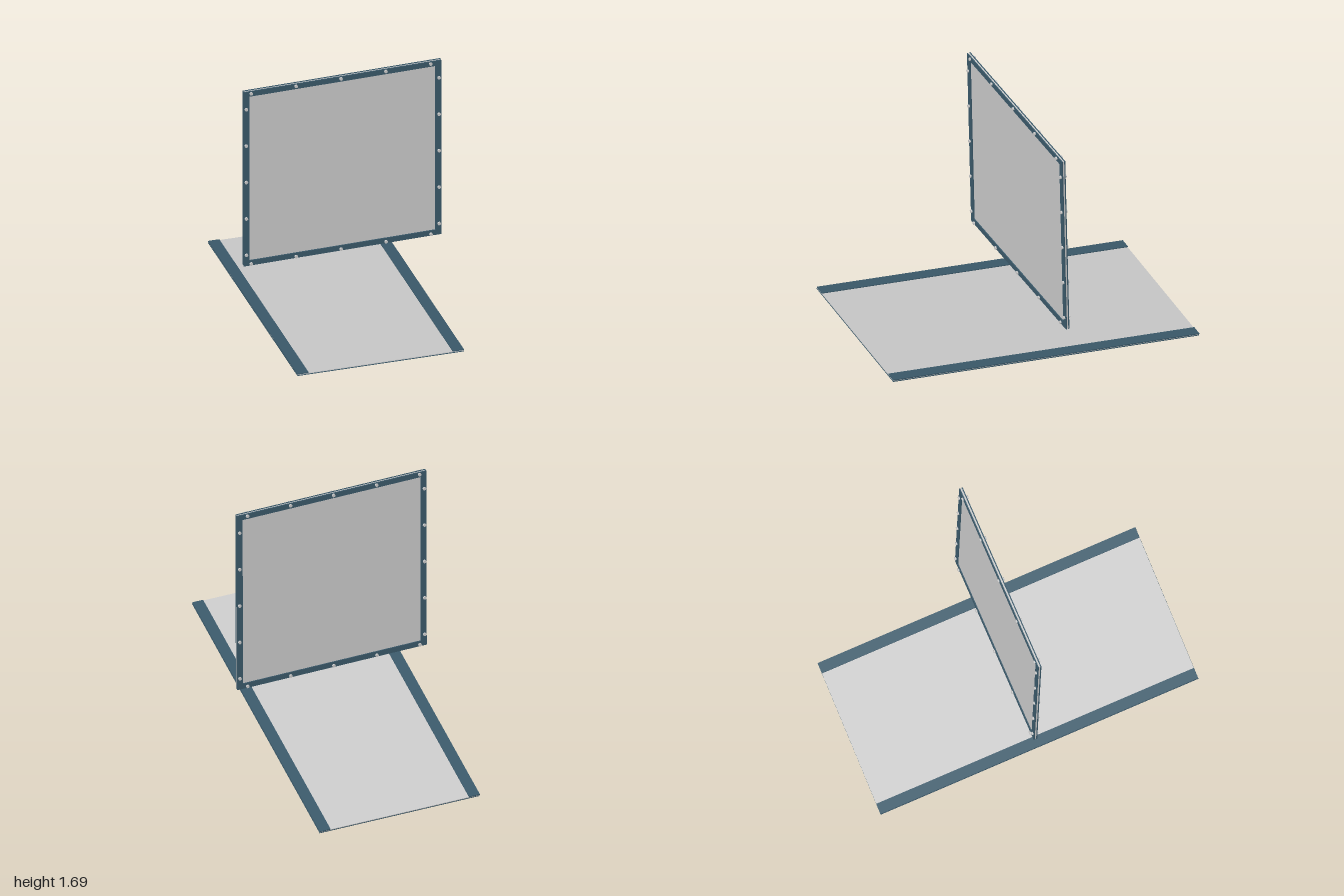
import * as THREE from 'three';

const blue = new THREE.MeshStandardMaterial({ color: 0x3b5a6b });
const grey = new THREE.MeshStandardMaterial({ color: 0xcccccc });

function box(parent, name, size, pos, material) {
  const mesh = new THREE.Mesh(new THREE.BoxGeometry(...size), material);
  mesh.name = name;
  mesh.position.set(...pos);
  parent.add(mesh);
  return mesh;
}

// Four strips forming a rectangular border in the XY plane
function border(parent, name, w, h, bar, depth, z) {
  for (const s of [-1, 1]) {
    box(parent, name + 'Side', [bar, h - 2 * bar, depth], [s * (w - bar) / 2, 0, z], blue);
    box(parent, name + 'Rail', [w, bar, depth], [0, s * (h - bar) / 2, z], blue);
  }
}

// Bolt through the sheet with a head at each end
function bolt(parent, x, y) {
  const group = new THREE.Group();
  group.name = 'bolt';
  group.position.set(x, y, 0);
  const add = (name, r, len, z) => {
    const mesh = new THREE.Mesh(new THREE.CylinderGeometry(r, r, len, 12), grey);
    mesh.name = name;
    mesh.rotation.x = Math.PI / 2;
    mesh.position.z = z;
    group.add(mesh);
  };
  add('boltShaft', 0.006, 0.04, 0);
  for (const s of [-1, 1]) add('boltHead', 0.01, 0.009, s * 0.0165);
  parent.add(group);
}

// Upright framed sheet, slightly twisted out of square
function makeScreen() {
  const screen = new THREE.Group();
  screen.name = 'screen';
  const w = 1.206, h = 1.232;
  box(screen, 'screenSheet', [w - 0.006, h - 0.006, 0.01], [0, 0, 0], grey);
  border(screen, 'frontFrame', w, h, 0.036, 0.006, 0.008);
  border(screen, 'backFrame', w, h, 0.036, 0.006, -0.008);
  for (let i = -2; i <= 2; i++) {
    for (const s of [-1, 1]) {
      bolt(screen, -0.01 + i * 0.274, s * 0.603);
      bolt(screen, s * 0.588, -0.02 + i * 0.258);
    }
  }
  screen.position.set(-0.002, 1.073, -0.043);
  screen.rotation.set(0.019, 0.02, 0.006);
  return screen;
}

// Sloping board: frame with a recessed underside, deck and two edge rails
function makeRamp() {
  const ramp = new THREE.Group();
  ramp.name = 'ramp';
  const w = 1.01, len = 2.025;
  const shape = new THREE.Shape();
  shape.moveTo(-w / 2, -len / 2);
  shape.lineTo(w / 2, -len / 2);
  shape.lineTo(w / 2, len / 2);
  shape.lineTo(-w / 2, len / 2);
  const hole = new THREE.Path();
  hole.moveTo(-0.415, -0.85);
  hole.lineTo(-0.415, 0.88);
  hole.lineTo(0.42, 0.88);
  hole.lineTo(0.42, -0.85);
  shape.holes.push(hole);
  const geometry = new THREE.ExtrudeGeometry(shape, { depth: 0.005, bevelEnabled: false });
  geometry.rotateX(-Math.PI / 2);
  const frame = new THREE.Mesh(geometry, blue);
  frame.name = 'rampBaseFrame';
  frame.position.y = -0.007;
  ramp.add(frame);
  box(ramp, 'rampDeck', [w - 0.004, 0.005, len - 0.002], [0, 0.0005, 0], grey);
  for (const s of [-1, 1]) {
    box(ramp, 'rampEdgeRail', [0.068, 0.006, len], [s * (w - 0.068) / 2, 0.005, 0], blue);
  }
  ramp.position.set(-0.05, 0.172, 0);
  ramp.rotation.x = -0.163;
  return ramp;
}

export function createModel() {
  const model = new THREE.Group();
  model.name = 'screenAndRamp';
  model.add(makeScreen(), makeRamp());
  return model;
}
